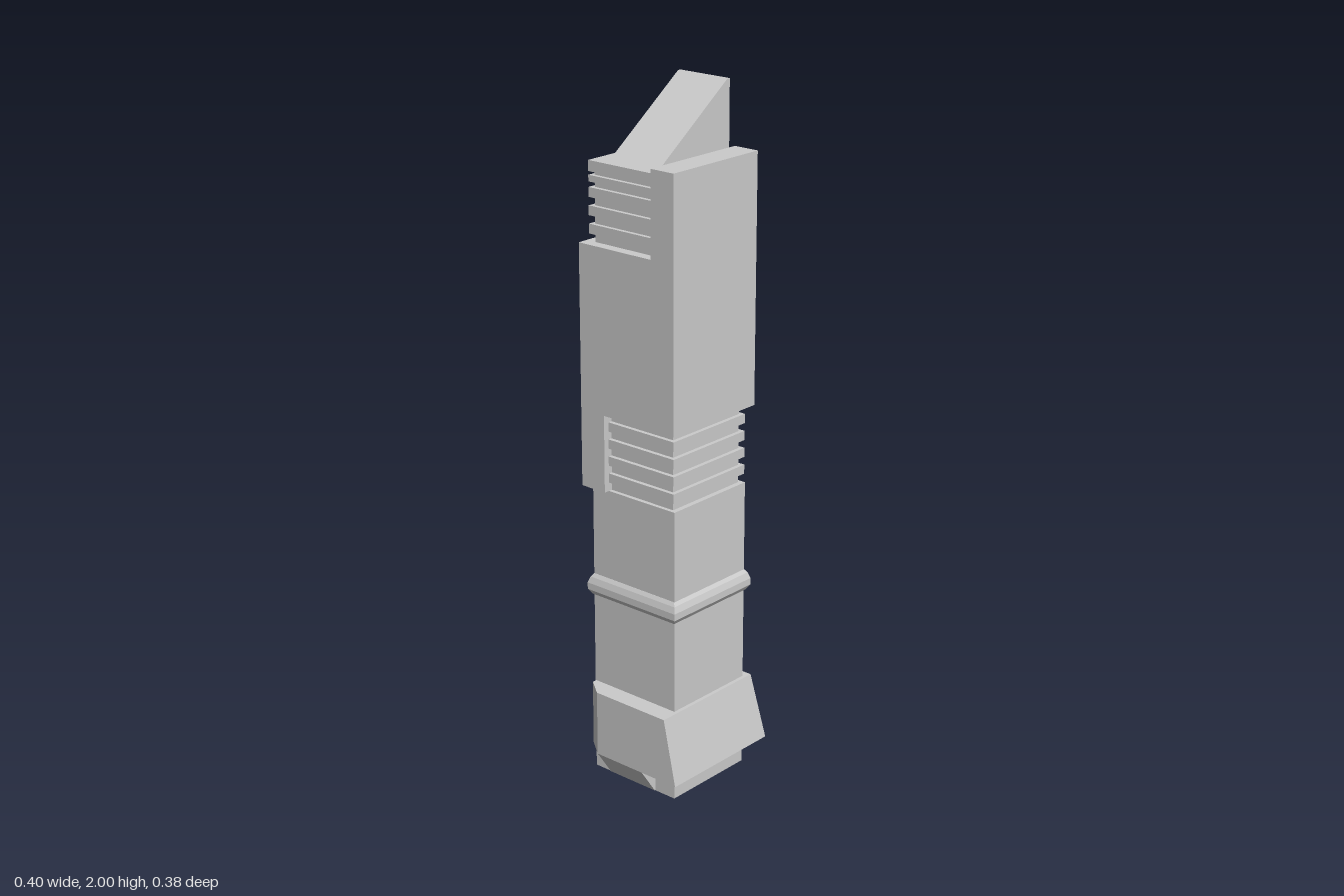
import * as THREE from 'three';

const material = new THREE.MeshStandardMaterial({ color: 0xcccccc });

export function createModel() {
  const model = new THREE.Group();

  function add(name, geometry, parent = model) {
    const mesh = new THREE.Mesh(geometry, material);
    mesh.name = name;
    parent.add(mesh);
    return mesh;
  }

  // Box given by its limits on each axis
  function box(name, [x0, x1], [y0, y1], [z0, z1], parent) {
    const g = new THREE.BoxGeometry(x1 - x0, y1 - y0, z1 - z0);
    g.translate((x0 + x1) / 2, (y0 + y1) / 2, (z0 + z1) / 2);
    return add(name, g, parent);
  }

  function extrude(points, depth) {
    const shape = new THREE.Shape(points.map(([x, y]) => new THREE.Vector2(x, y)));
    return new THREE.ExtrudeGeometry(shape, { depth, bevelEnabled: false });
  }

  // Square shaft, lower body
  const coreX = [-0.143, 0.155], coreZ = [-0.165, 0.135];
  box('shaft', coreX, [0, 0.875], coreZ);

  // Ribbed necks: a recessed core with evenly stacked plates
  function ribbedNeck(name, x, y, z, plates) {
    const neck = new THREE.Group();
    neck.name = name;
    const inset = ([a, b]) => [a + 0.012, b - 0.012];
    box('neckCore', inset(x), y, inset(z), neck);
    for (const [a, b] of plates) box('rib', x, [a, b], z, neck);
    model.add(neck);
  }
  const plates = (start, count) =>
    Array.from({ length: count }, (_, i) => [start + i * 0.05, start + i * 0.05 + 0.027]);
  ribbedNeck('lowerRibs', coreX, [0.87, 1.11], [-0.16, 0.132], plates(0.9, 4));
  ribbedNeck('upperRibs', [-0.141, 0.159], [1.57, 1.797], [-0.17, 0.08],
    [...plates(1.597, 3), [1.739, 1.757], [1.767, 1.797]]);

  // Stepped sleeve: low at the back, tall panel at the front
  const sleeve = extrude([
    [-0.19, 0.875], [-0.105, 0.875], [-0.105, 1.1], [0.146, 1.1],
    [0.146, 1.815], [0.067, 1.815], [0.067, 1.573], [-0.19, 1.573],
  ], 0.338);
  sleeve.rotateY(-Math.PI / 2);
  sleeve.translate(0.178, 0, 0);
  add('sleeve', sleeve);

  // Slanted tip
  const tip = extrude([[-0.14, 1.793], [0.157, 1.793], [0.157, 2], [0.147, 2]], 0.172);
  tip.translate(0, 0, -0.107);
  add('slantedTip', tip);

  // Raised square band round the shaft
  const bandProfile = [[0.14, 0.545], [0.153, 0.547], [0.163, 0.562],
    [0.163, 0.582], [0.157, 0.6], [0.15, 0.61], [0.14, 0.61]]
    .map(([r, y]) => new THREE.Vector2(r * Math.SQRT2, y));
  const band = new THREE.LatheGeometry(bandProfile, 4, Math.PI / 4).toNonIndexed();
  band.computeVertexNormals();
  band.translate(0.006, 0, -0.015);
  add('band', band);

  // Wraparound clamp: front and left faces flare out towards the bottom
  const clamp = extrude([
    [-0.2, -0.188], [0.198, -0.188], [0.198, -0.065], [-0.1, -0.065],
    [-0.1, 0.162], [-0.158, 0.162], [-0.2, 0.107],
  ], 0.195);
  clamp.rotateX(-Math.PI / 2);
  clamp.translate(0, 0.08, 0);
  const p = clamp.attributes.position;
  for (let i = 0; i < p.count; i++) {
    if (p.getY(i) < 0.2) continue;
    if (p.getZ(i) > 0.1) p.setZ(i, 0.146);
    if (p.getX(i) > 0.1) p.setX(i, 0.178);
  }
  clamp.computeVertexNormals();
  add('clamp', clamp);

  // Sloped support under the clamp's side
  const support = extrude([[-0.2, 0.08], [-0.145, 0], [-0.12, 0], [-0.12, 0.08]], 0.17);
  support.translate(0, 0, -0.107);
  add('clampSupport', support);

  return model;
}
